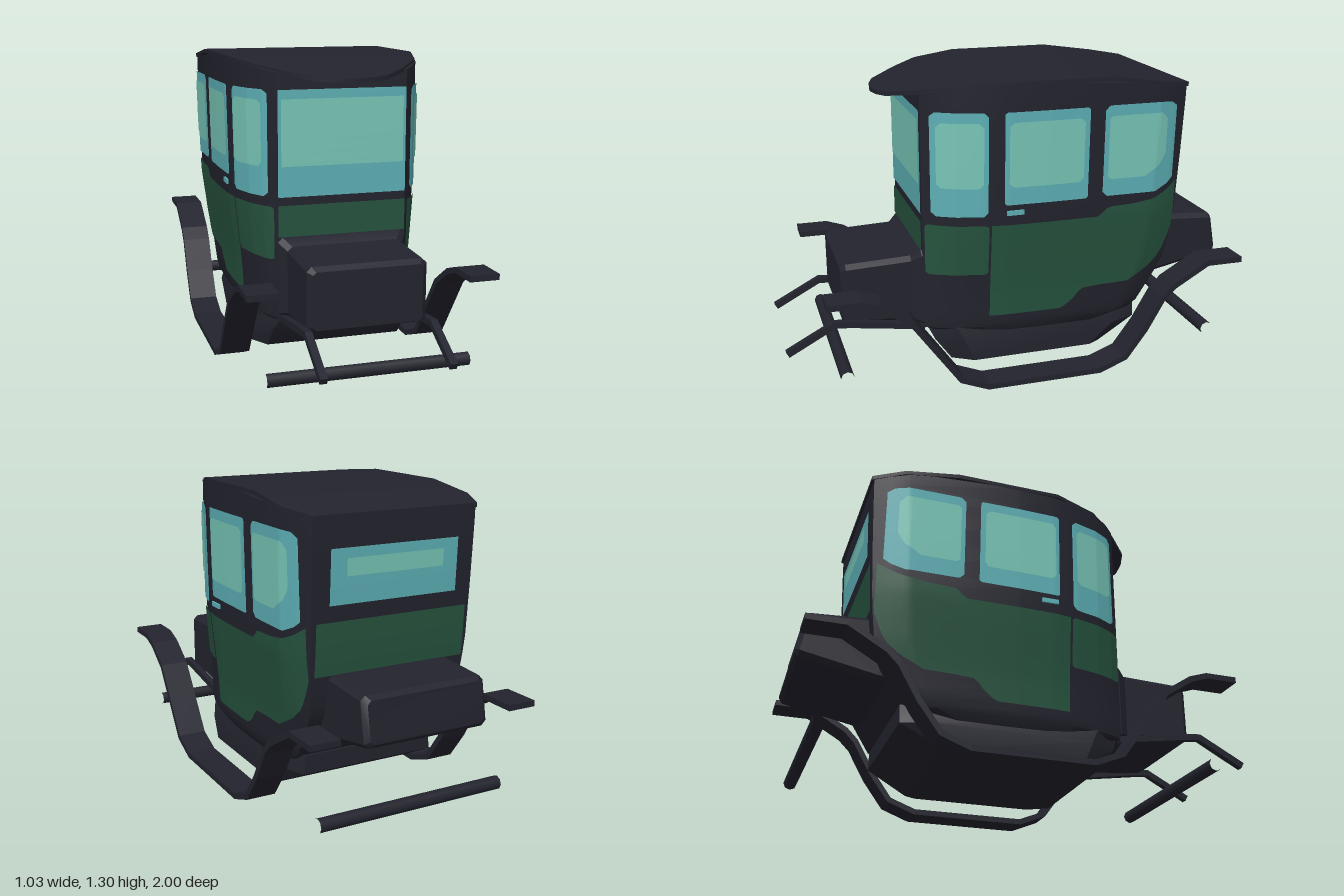
import * as THREE from 'three';
import { toCreasedNormals } from 'three/addons/utils/BufferGeometryUtils.js';

const mat = (name, color, side = THREE.FrontSide) => {
  const m = new THREE.MeshStandardMaterial({ color, side });
  m.name = name;
  return m;
};

// Piecewise linear lookup in rows sorted by their first entry
function lookup(rows, t, col = 1) {
  if (t <= rows[0][0]) return rows[0][col];
  for (let i = 1; i < rows.length; i++) {
    const a = rows[i - 1], b = rows[i];
    if (t <= b[0]) return a[col] + (b[col] - a[col]) * (t - a[0]) / (b[0] - a[0]);
  }
  return rows[rows.length - 1][col];
}

function build(points, index) {
  const g = new THREE.BufferGeometry();
  g.setAttribute('position', new THREE.Float32BufferAttribute(points.flat(), 3));
  g.setIndex(index);
  return toCreasedNormals(g, 0.45);
}

// Half loop on +x completed by its mirror image
const symmetric = half => [...half, ...half.map(([x, y, z]) => [-x, y, z]).reverse()];

// Skin over symmetric loops, with both ends closed
function loft(rings) {
  const n = rings[0].length, index = [], last = (rings.length - 1) * n;
  for (let r = 0; r < rings.length - 1; r++) {
    for (let i = 0; i < n; i++) {
      const a = r * n + i, b = r * n + (i + 1) % n;
      index.push(a, b, b + n, a, b + n, a + n);
    }
  }
  for (let i = 0; i < n / 2 - 1; i++) {
    const [a, b, c, d] = [i, i + 1, n - 2 - i, n - 1 - i];
    index.push(last + a, last + b, last + c, last + a, last + c, last + d);
    index.push(a, c, b, a, d, c);
  }
  return build(rings.flat(), index);
}

// Surface patch; fn maps u, v in 0..1 to a point
function patch(nu, nv, fn, flip = false) {
  const pts = [], index = [];
  for (let j = 0; j <= nv; j++) for (let i = 0; i <= nu; i++) pts.push(fn(i / nu, j / nv));
  for (let j = 0; j < nv; j++) {
    for (let i = 0; i < nu; i++) {
      const a = j * (nu + 1) + i, b = a + 1, c = b + nu + 1, d = a + nu + 1;
      index.push(...(flip ? [a, c, b, a, d, c] : [a, b, c, a, c, d]));
    }
  }
  return build(pts, index);
}

// Flat bar following a z,y path, extruded across x
function ribbon(path, thick, width, x) {
  const p = path.map(([z, y]) => new THREE.Vector2(-z, y)), up = [], down = [];
  p.forEach((q, i) => {
    const d0 = q.clone().sub(p[Math.max(i - 1, 0)]).normalize();
    const d1 = p[Math.min(i + 1, p.length - 1)].clone().sub(q).normalize();
    const d = d0.add(d1).normalize(), o = new THREE.Vector2(-d.y, d.x).multiplyScalar(thick / 2);
    up.push(q.clone().add(o));
    down.unshift(q.clone().sub(o));
  });
  const g = new THREE.ExtrudeGeometry(new THREE.Shape([...up, ...down]), { depth: width, bevelEnabled: false });
  return g.rotateY(Math.PI / 2).translate(x - width / 2, 0, 0);
}

// Cabin plan (half width, z) and height table (y, side bulge, back z, front z)
const plan = [[0.28, 0.405], [0.325, 0.355], [0.368, 0.28], [0.402, 0.17], [0.42, 0.06],
  [0.425, -0.1], [0.425, -0.6], [0.4, -0.68], [0.37, -0.745]];
const levels = [[0.18, 0.45, -0.4, 0.3], [0.22, 0.6, -0.53, 0.4], [0.25, 0.63, -0.57, 0.405],
  [0.38, 0.68, -0.65, 0.405], [0.45, 0.73, -0.685, 0.405], [0.5, 0.77, -0.7, 0.405],
  [0.62, 0.87, -0.715, 0.405], [0.7, 0.93, -0.722, 0.405], [0.95, 0.97, -0.735, 0.405], [1.2, 1, -0.745, 0.405]];
const roofLine = [[-0.755, 1.25], [-0.38, 1.305], [0.08, 1.305], [0.3, 1.285], [0.41, 1.262], [0.555, 1.235]];

const section = y => plan.map(([x, z]) => {
  const k = z < -0.1 ? (lookup(levels, y, 2) + 0.1) / -0.645 : (lookup(levels, y, 3) + 0.1) / 0.505;
  return [0.28 + (x - 0.28) * lookup(levels, y), y, -0.1 + (z + 0.1) * k];
});
const halfWidth = (z, y) => lookup(section(y).map(p => [p[2], p[0]]).reverse(), z);

// Painted side panel: edge rows are [z, bottom, top] from front to back
function sidePanel(rows, off, sign) {
  const back = [...rows].reverse(), z0 = rows[0][0], z1 = rows[rows.length - 1][0];
  return patch(40, 14, (u, v) => {
    let z = z0 + (z1 - z0) * u;
    const y = lookup(back, z, 1) * (1 - v) + lookup(back, z, 2) * v;
    z = Math.max(z, lookup(levels, y, 2) + 0.004);
    return [sign * (halfWidth(z, y) + off), y, z];
  }, sign < 0);
}
const rounded = (z0, z1, y0, y1, r = 0.018) =>
  [[z0, y0 + r, y1 - r], [z0 - r, y0, y1], [z1 + r, y0, y1], [z1, y0 + r, y1 - r]];

// Chamfered rectangle across the car; the top edge may lie at another z
const boxRing = (w, y0, y1, c, z, zTop = z) => symmetric([
  [w - c, y0, z], [w, y0 + c, z], [w, y1 - c, zTop], [w - c, y1, zTop]]);

export function createModel() {
  const car = new THREE.Group();
  car.name = 'sleighCar';
  const dark = mat('blackPaint', 0x23232e);
  const green = mat('greenPaint', 0x26533e);
  const glass = mat('tealGlass', 0x5db0b6);
  const shine = mat('paleGlass', 0x78c6b7);
  const add = (name, geometry, material) => {
    const m = new THREE.Mesh(geometry, material);
    m.name = name;
    car.add(m);
    return m;
  };

  // Cabin shell
  const rings = [];
  const heights = [...levels.map(l => l[0]), 0.3, 0.34, 0.42, 0.56, 0.66, 0.8, 1.1].sort((a, b) => a - b);
  heights.forEach(y => rings.push(symmetric(section(y))));
  rings.push(symmetric(section(1.2).map(([x, , z]) => [x, lookup(roofLine, z) - 0.01, z])));
  add('cabin', loft(rings), dark);

  // Roof with front visor
  const roofPlan = [[0.01, 0.555], [0.08, 0.545], [0.15, 0.52], [0.245, 0.43], [0.3, 0.365], [0.365, 0.28],
    [0.425, 0.08], [0.427, -0.38], [0.427, -0.62], [0.37, -0.755]];
  add('roof', loft([-0.018, 0].map(dy =>
    symmetric(roofPlan.map(([x, z]) => [x, lookup(roofLine, z) + dy, z])))), dark);

  // Underbody
  add('underbody', loft([
    symmetric([[0.3, 0.065, 0.29], [0.355, 0.065, 0.2], [0.355, 0.065, -0.34], [0.33, 0.065, -0.39]]),
    symmetric([[0.29, 0.16, 0.36], [0.355, 0.16, 0.24], [0.355, 0.16, -0.45], [0.31, 0.16, -0.57]]),
    symmetric([[0.25, 0.24, 0.4], [0.33, 0.24, 0.28], [0.33, 0.24, -0.45], [0.3, 0.24, -0.57]])]), dark);

  // Hood and rear trunk
  add('hood', loft([boxRing(0.28, 0.225, 0.575, 0.02, 0.39), boxRing(0.28, 0.225, 0.57, 0.02, 0.41),
    boxRing(0.25, 0.235, 0.54, 0.02, 0.45), boxRing(0.25, 0.265, 0.53, 0.02, 0.73),
    boxRing(0.228, 0.275, 0.512, 0.012, 0.752)]), dark);
  add('trunk', loft([boxRing(0.26, 0.425, 0.59, 0.015, -0.995, -0.97), boxRing(0.28, 0.408, 0.607, 0.02, -0.98, -0.95),
    boxRing(0.28, 0.345, 0.625, 0.02, -0.66), boxRing(0.28, 0.34, 0.625, 0.02, -0.6)]), dark);

  // Runners and front forks
  const runner = [[0.85, 0.462], [0.71, 0.462], [0.63, 0.435], [0.51, 0.355], [0.42, 0.23], [0.3, 0.062],
    [0.18, 0.013], [-0.33, 0.013], [-0.45, 0.058], [-0.54, 0.18], [-0.62, 0.32], [-0.67, 0.37], [-0.83, 0.462], [-0.995, 0.462]];
  const fork = [[0.4, 0.22], [0.72, 0.27], [0.79, 0.277], [0.995, 0.168]];
  for (const s of [1, -1]) {
    add('runner', ribbon(runner, 0.025, 0.128, s * 0.45), dark);
    add('fork', ribbon(fork, 0.028, 0.03, s * 0.26), dark);
  }

  // Axle tubes, open at the ends
  for (const z of [0.768, -0.893]) {
    const tube = new THREE.CylinderGeometry(0.029, 0.029, 0.85, 8, 1, true);
    add('axle', tube.rotateZ(Math.PI / 2).translate(0, 0.1, z), dark);
  }

  // Side windows, painted panels and door handles
  const rearGlass = [[-0.35, 0.81, 1.165], [-0.37, 0.79, 1.185], [-0.6, 0.79, 1.185], [-0.66, 0.815, 1.18], [-0.69, 0.84, 1.16]];
  const rearShine = [[-0.37, 0.88, 1.13], [-0.385, 0.865, 1.14], [-0.54, 0.865, 1.14], [-0.61, 0.91, 1.14], [-0.64, 0.96, 1.11]];
  const doorPaint = [[0.135, 0.275, 0.7], [-0.19, 0.275, 0.7], [-0.24, 0.31, 0.7], [-0.28, 0.36, 0.7], [-0.34, 0.365, 0.7],
    [-0.38, 0.367, 0.74], [-0.5, 0.37, 0.745], [-0.6, 0.425, 0.76], [-0.66, 0.48, 0.785], [-0.712, 0.6, 0.82]];
  for (const s of [1, -1]) {
    add('cornerWindow', sidePanel(rounded(0.375, 0.15, 0.74, 1.183), 0.007, s), glass);
    add('cornerWindowShine', sidePanel(rounded(0.355, 0.17, 0.865, 1.14), 0.012, s), shine);
    add('doorWindow', sidePanel(rounded(0.083, -0.283, 0.788, 1.183, 0.008), 0.006, s), glass);
    add('doorWindowShine', sidePanel(rounded(0.065, -0.26, 0.865, 1.14), 0.01, s), shine);
    add('rearSideWindow', sidePanel(rearGlass, 0.006, s), glass);
    add('rearSideWindowShine', sidePanel(rearShine, 0.01, s), shine);
    add('cornerPaint', sidePanel(rounded(0.398, 0.145, 0.475, 0.7, 0.01), 0.007, s), green);
    add('doorPaint', sidePanel(doorPaint, 0.006, s), green);
    const handle = new THREE.BoxGeometry(0.008, 0.02, 0.075);
    add('doorHandle', handle.translate(s * 0.42, 0.754, 0.037), glass);
  }

  // Front and back panels
  const facing = (name, w, y0, y1, off, material, front) => add(name, patch(1, 6, (u, v) => {
    const y = y0 + (y1 - y0) * v, x = (2 * u - 1) * w;
    return front ? [x, y, 0.405 + off] : [-x, y, lookup(levels, y, 2) - off];
  }), material);
  facing('windshield', 0.278, 0.74, 1.183, 0.006, glass, true);
  facing('windshieldShine', 0.265, 0.868, 1.145, 0.01, shine, true);
  facing('frontPaint', 0.278, 0.572, 0.705, 0.006, green, true);
  facing('backWindow', 0.29, 0.9, 1.12, 0.006, glass, false);
  facing('backWindowShine', 0.22, 1.01, 1.08, 0.01, shine, false);
  facing('backPaint', 0.345, 0.62, 0.835, 0.006, green, false);

  return car;
}
